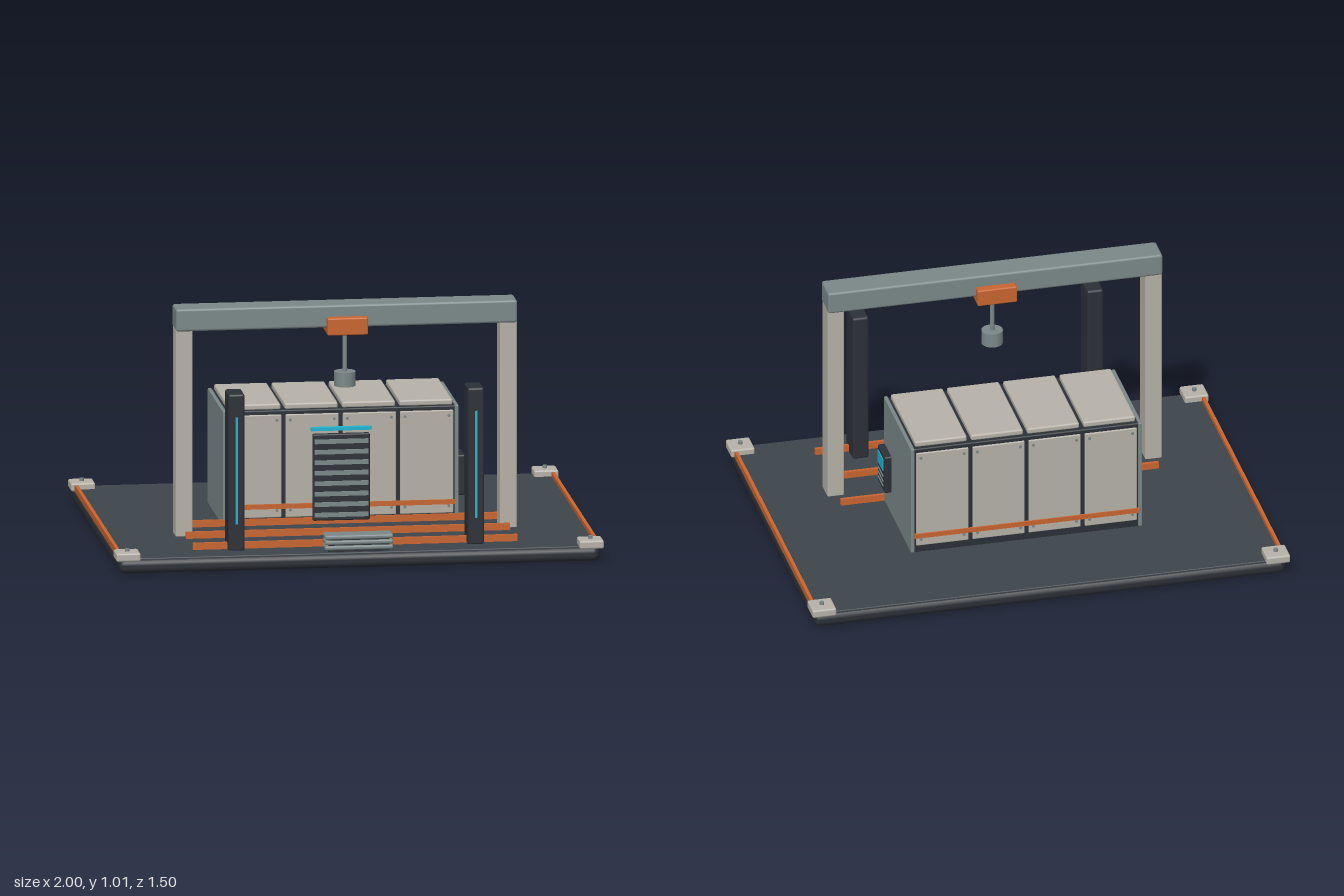
import * as THREE from 'three';
import { RoundedBoxGeometry } from 'three/addons/geometries/RoundedBoxGeometry.js';

const mat = (name, color) => {
  const m = new THREE.MeshStandardMaterial({ color });
  m.name = name;
  return m;
};

export function createModel() {
  const charcoal = mat('charcoal', 0x2c3138);
  const deckGrey = mat('deck grey', 0x3d444b);
  const stone = mat('warm stone', 0xb6b2a8);
  const steel = mat('steel grey', 0x7b8888);
  const orange = mat('safety orange', 0xc9652f);
  const cyan = mat('cyan light', 0x1fb4d2);

  const model = new THREE.Group();
  model.name = 'workCell';

  const group = (name) => {
    const g = new THREE.Group();
    g.name = name;
    model.add(g);
    return g;
  };
  const add = (parent, name, geometry, material, x, y, z) => {
    const mesh = new THREE.Mesh(geometry, material);
    mesh.name = name;
    mesh.position.set(x, y, z);
    parent.add(mesh);
    return mesh;
  };
  // Box given by its extents on each axis, with an optional edge radius
  const box = (parent, name, material, [x0, x1], [y0, y1], [z0, z1], r = 0) => {
    const s = [x1 - x0, y1 - y0, z1 - z0];
    const g = r ? new RoundedBoxGeometry(...s, 2, r) : new THREE.BoxGeometry(...s);
    return add(parent, name, g, material, (x0 + x1) / 2, (y0 + y1) / 2, (z0 + z1) / 2);
  };
  const around = (c, half) => [c - half, c + half];

  // Base slab, deck and corner feet
  const base = group('base');
  box(base, 'baseSlab', charcoal, [-0.985, 0.985], [0, 0.06], [-0.735, 0.735], 0.025);
  box(base, 'deck', deckGrey, [-0.975, 0.975], [0.05, 0.064], [-0.725, 0.725], 0.004);
  for (const sx of [-1, 1]) {
    box(base, 'edgeStrip', orange, around(sx * 0.978, 0.007), [0.055, 0.082], [-0.67, 0.67]);
    for (const sz of [-1, 1]) {
      box(base, 'cornerPad', stone, around(sx * 0.95, 0.05), [0.055, 0.09], around(sz * 0.7, 0.05), 0.008);
      add(base, 'cornerBolt', new THREE.CylinderGeometry(0.009, 0.009, 0.014, 16), steel, sx * 0.95, 0.095, sz * 0.7);
    }
  }

  // Floor rails
  for (const z of [0.145, 0.365, 0.585]) {
    box(base, 'floorRail', orange, [-0.665, 0.665], [0.06, 0.092], around(z, 0.007));
  }

  // Gantry with trolley and hanging tool
  const gantry = group('gantry');
  for (const sx of [-1, 1]) {
    box(gantry, 'gantryColumn', stone, around(sx * 0.665, 0.035), [0.06, 0.925], around(0.272, 0.047), 0.006);
  }
  box(gantry, 'gantryBeam', steel, [-0.7, 0.7], [0.916, 1.01], around(0.272, 0.06), 0.01);
  box(gantry, 'trolley', orange, [-0.083, 0.083], [0.89, 0.962], around(0.272, 0.096), 0.006);
  add(gantry, 'hoistRod', new THREE.CylinderGeometry(0.009, 0.009, 0.18, 16), steel, 0, 0.805, 0.272);
  add(gantry, 'hoistTool', new THREE.CylinderGeometry(0.044, 0.044, 0.06, 24), steel, 0, 0.693, 0.272);

  // Light posts
  const posts = group('lightPosts');
  for (const sx of [-1, 1]) {
    box(posts, 'post', charcoal, around(sx * 0.491, 0.034), [0.06, 0.713], [0.51, 0.628], 0.01);
    box(posts, 'postLight', cyan, around(sx * 0.491, 0.005), [0.175, 0.618], [0.627, 0.636]);
  }

  // Cabinet body with side panels
  const cabinet = group('cabinet');
  box(cabinet, 'cabinetCore', charcoal, [-0.472, 0.472], [0.06, 0.54], [-0.315, 0.143], 0.006);
  for (const sx of [-1, 1]) {
    box(cabinet, 'sidePanel', steel, around(sx * 0.476, 0.008), [0.064, 0.542], [-0.32, 0.15], 0.004);
  }

  // Four bays: lid, doors on both faces and door screws
  const screw = new THREE.CylinderGeometry(0.006, 0.006, 0.008, 10).rotateX(Math.PI / 2);
  for (let i = 0; i < 4; i++) {
    const x = (i - 1.5) * 0.235;
    box(cabinet, 'lid', stone, around(x, 0.109), [0.537, 0.563], [-0.297, 0.125], 0.008);
    for (const [z0, z1, zs] of [[0.138, 0.15, 0.151], [-0.322, -0.31, -0.323]]) {
      box(cabinet, 'door', stone, around(x, 0.109), [0.095, 0.522], [z0, z1], 0.004);
      for (const sx of [-1, 1]) {
        for (const y of [0.125, 0.5]) add(cabinet, 'doorScrew', screw, steel, x + sx * 0.09, y, zs);
      }
    }
  }
  box(cabinet, 'frontStripe', orange, [-0.47, 0.47], [0.132, 0.152], [0.148, 0.156]);
  box(cabinet, 'backStripe', orange, [-0.47, 0.47], [0.132, 0.152], [-0.328, -0.32]);

  // Louvred front vent with light bar
  const vent = group('vent');
  box(vent, 'ventFrame', charcoal, [-0.117, 0.117], [0.08, 0.44], [0.145, 0.168], 0.006);
  for (let i = 0; i < 8; i++) {
    box(vent, 'ventSlat', steel, [-0.11, 0.11], around(0.105 + i * 0.0435, 0.009), [0.16, 0.175]);
  }
  box(vent, 'ventLight', cyan, [-0.125, 0.125], [0.455, 0.468], [0.148, 0.176]);

  // Control console on the left flank
  const console_ = group('console');
  box(console_, 'consoleBody', charcoal, [0.478, 0.513], [0.164, 0.332], [0.016, 0.137], 0.008);
  box(console_, 'consoleScreen', cyan, [0.51, 0.516], [0.26, 0.315], [0.034, 0.12]);
  for (let i = 0; i < 3; i++) {
    box(console_, 'consoleKeyRow', steel, [0.51, 0.516], around(0.192 + i * 0.022, 0.004), [0.034, 0.12]);
  }

  // Stacked step plates at the front edge
  const steps = group('steps');
  for (let i = 0; i < 3; i++) {
    box(steps, 'stepPlate', steel, around(0, 0.14), around(0.081 + i * 0.022, 0.009), around(0.677, 0.041), 0.007);
  }
  box(steps, 'stepCore', charcoal, around(0, 0.125), [0.06, 0.12], around(0.677, 0.03));

  return model;
}
